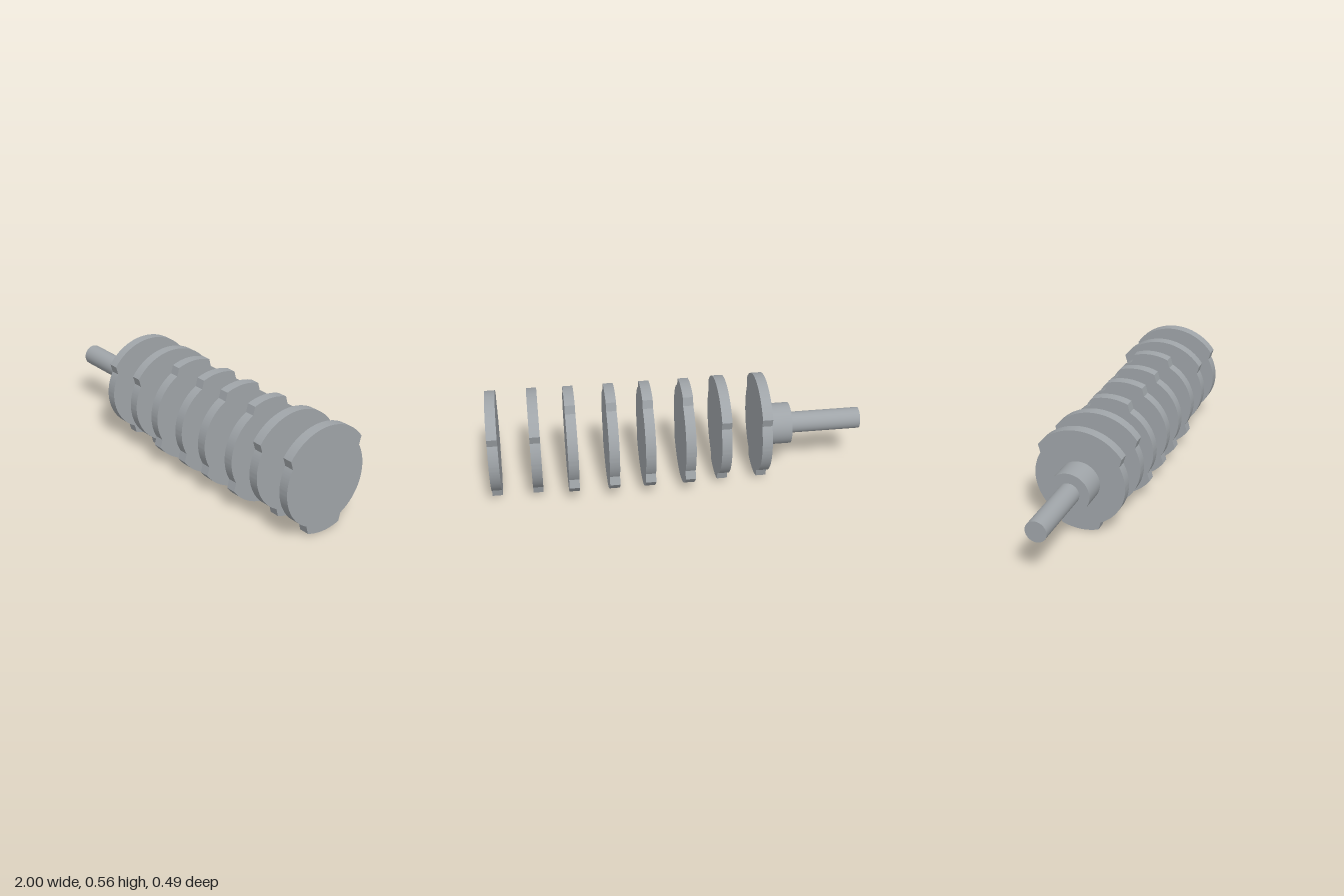
import * as THREE from 'three';
import { toCreasedNormals } from 'three/addons/utils/BufferGeometryUtils.js';

const AXIS_Y = 0.282, R_BASE = 0.2465, R_LOBE = 0.282, THICK = 0.054;
const rad = THREE.MathUtils.degToRad;

// Cam outline: a wide lobe on top, a narrow one below, base circle between
function camGeometry() {
  const shape = new THREE.Shape();
  const arcs = [
    [R_LOBE, 36.1, 143.9],
    [R_BASE, 150.6, 242.7],
    [R_LOBE, 249, 291],
    [R_BASE, 297.3, 389.4],
  ];
  for (const [r, a, b] of arcs) shape.absarc(0, 0, r, rad(a), rad(b), false);
  shape.closePath();
  const geometry = new THREE.ExtrudeGeometry(shape, { depth: THICK, bevelEnabled: false, curveSegments: 32 });
  geometry.translate(0, 0, -THICK / 2).rotateY(Math.PI / 2);
  return toCreasedNormals(geometry, 0.4);
}

export function createModel() {
  const model = new THREE.Group();
  model.name = 'camshaft';
  const steel = new THREE.MeshStandardMaterial({ color: 0x9fa4a8 });
  steel.name = 'steel grey';

  // Cam discs in pairs; the four middle ones are turned upside down
  const cam = camGeometry();
  [-0.451, -0.237, -0.048, 0.163, 0.353, 0.566, 0.756, 0.973].forEach((x, i) => {
    const mesh = new THREE.Mesh(cam, steel);
    mesh.name = `camDisc${i + 1}`;
    mesh.position.set(x, AXIS_Y, 0);
    if (i >= 2 && i <= 5) mesh.rotation.x = Math.PI;
    model.add(mesh);
  });

  // Round parts along the axis at the drive end
  const addRod = (name, r, x0, x1) => {
    const geometry = new THREE.CylinderGeometry(r, r, x1 - x0, 64).rotateZ(Math.PI / 2);
    const mesh = new THREE.Mesh(geometry, steel);
    mesh.name = name;
    mesh.position.set((x0 + x1) / 2, AXIS_Y, 0);
    model.add(mesh);
  };
  addRod('driveShaft', 0.057, -1, -0.614);
  addRod('collar', 0.111, -0.614, -0.478);

  return model;
}
